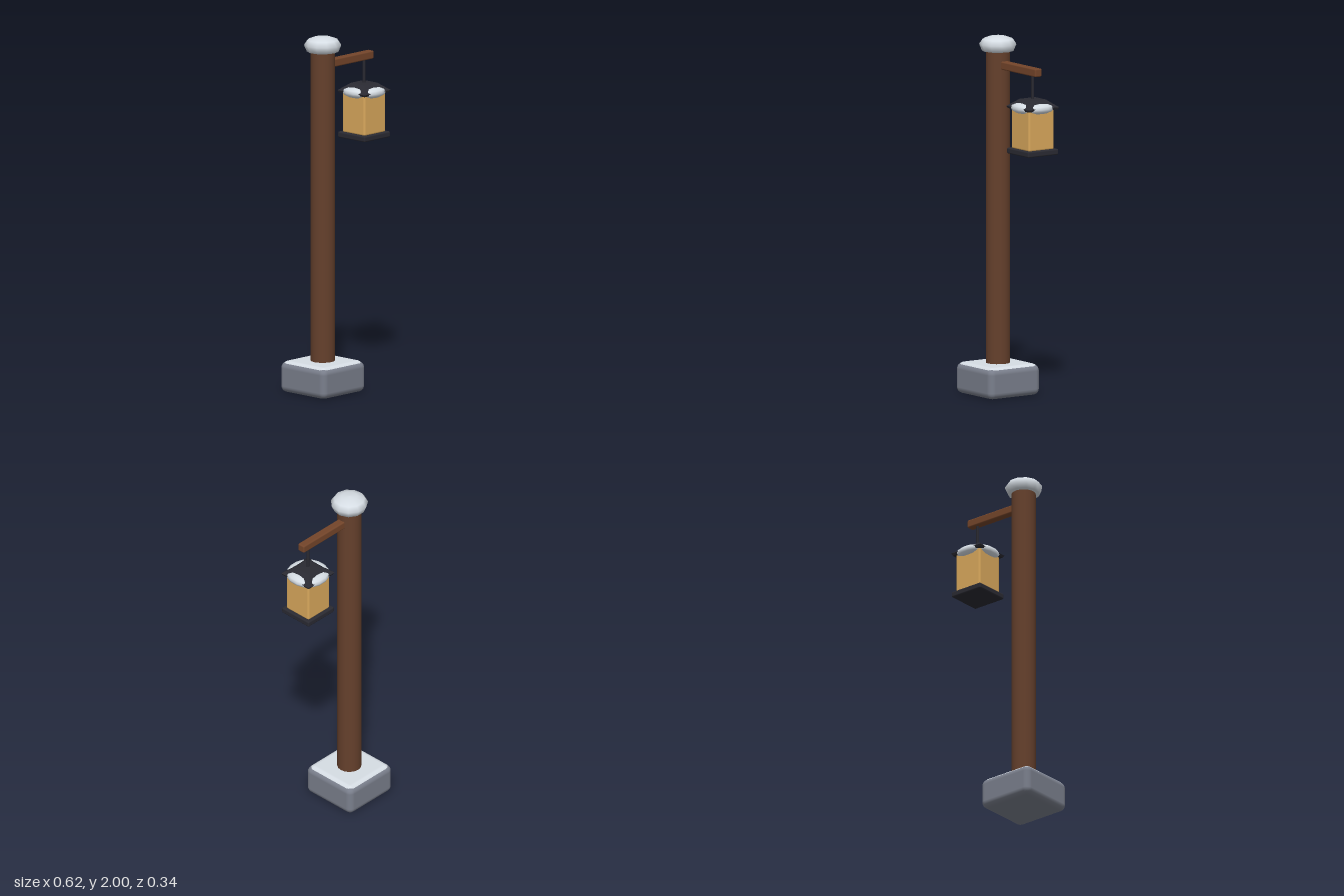
import * as THREE from 'three';
import { RoundedBoxGeometry } from 'three/addons/geometries/RoundedBoxGeometry.js';

const paint = (name, color) => {
  const m = new THREE.MeshStandardMaterial({ color });
  m.name = name;
  return m;
};

// Lathe from [radius, height] pairs, listed bottom to top
const lathe = (pairs, sides, start = 0) =>
  new THREE.LatheGeometry(pairs.map(([r, y]) => new THREE.Vector2(r, y)), sides, start);

export function createModel() {
  const stone = paint('stone', 0x7a7f8c);
  const snow = paint('snow', 0xd6dde4);
  const postWood = paint('post wood', 0x65402c);
  const armWood = paint('arm wood', 0x74452a);
  const iron = paint('dark iron', 0x2a2a32);
  const glass = paint('amber glass', 0xd9a85c);

  const model = new THREE.Group();
  model.name = 'lanternPost';
  const add = (name, geometry, material, x, y, z, parent = model) => {
    const mesh = new THREE.Mesh(geometry, material);
    mesh.name = name;
    mesh.position.set(x, y, z);
    parent.add(mesh);
    return mesh;
  };

  const postX = -0.136, lampX = 0.193;

  // Stone footing with a snow layer showing through its upper rounding
  add('footing', new RoundedBoxGeometry(0.343, 0.17, 0.343, 3, 0.035), stone, postX, 0.087, 0);
  add('footingSnow', new RoundedBoxGeometry(0.333, 0.1, 0.333, 3, 0.035), snow, postX, 0.127, 0);

  // Post and its snow cap
  add('post', new THREE.CylinderGeometry(0.067, 0.067, 1.82, 16), postWood, postX, 1.04, 0);
  add('snowCap', lathe([
    [0, 1.913], [0.088, 1.917], [0.104, 1.955], [0.085, 1.982], [0.045, 1.997], [0, 2],
  ], 11), snow, postX, 0, 0);

  // Arm and hanging rod
  add('arm', new RoundedBoxGeometry(0.35, 0.046, 0.046, 2, 0.008), armWood, 0.075, 1.842, 0);
  add('hangingRod', new THREE.CylinderGeometry(0.008, 0.008, 0.15, 8), iron, lampX, 1.755, 0);

  // Lantern
  const lantern = new THREE.Group();
  lantern.name = 'lantern';
  lantern.position.x = lampX;
  model.add(lantern);
  add('lanternBase', new RoundedBoxGeometry(0.206, 0.033, 0.206, 2, 0.008), iron, 0, 1.399, 0, lantern);
  add('lanternGlass', new RoundedBoxGeometry(0.172, 0.235, 0.172, 2, 0.012), glass, 0, 1.528, 0, lantern);

  // Four-sided roof with flat faces
  const profile = [[0, 1.636], [0.098, 1.636], [0.104, 1.648], [0.078, 1.668], [0.052, 1.689], [0, 1.692]]
    .map(([r, y]) => [r * Math.SQRT2, y]);
  const roof = lathe(profile, 4, Math.PI / 4).toNonIndexed();
  roof.computeVertexNormals();
  add('lanternRoof', roof, iron, 0, 0, 0, lantern);

  // Snow lumps along the four eaves
  for (let i = 0; i < 4; i++) {
    const a = i * Math.PI / 2;
    const lump = add('eaveSnow', new THREE.SphereGeometry(1, 10, 6), snow,
      Math.sin(a) * 0.077, 1.644, Math.cos(a) * 0.077, lantern);
    lump.scale.set(0.085, 0.029, 0.04);
    lump.rotation.y = a;
  }
  return model;
}
